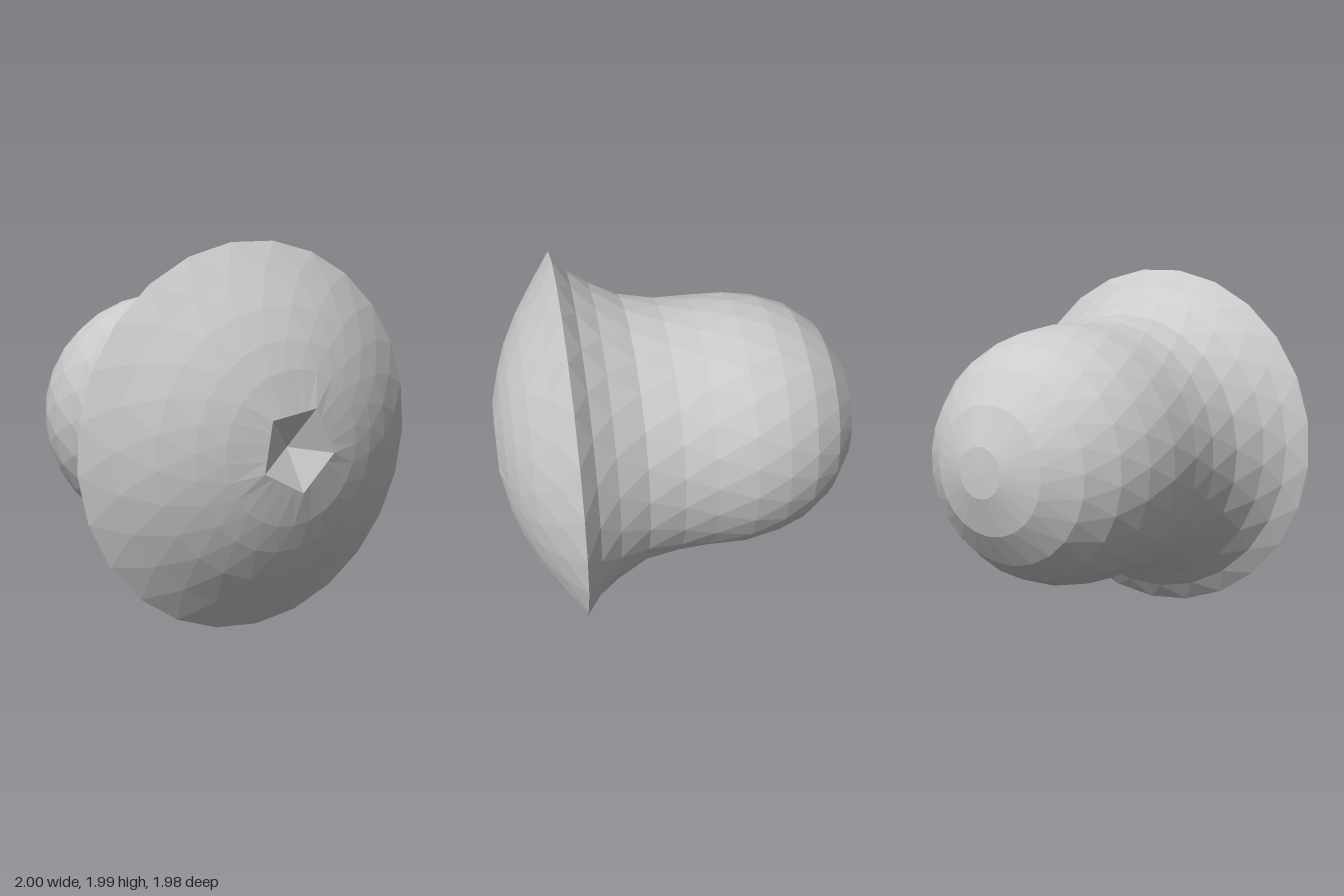
import * as THREE from 'three';

const SIDES = 25;

// [radius, z] from the rounded back end, over the flared rim, to the front dimple
const PROFILE = [
  [0, -0.99], [0.13, -0.985], [0.33, -0.92], [0.5, -0.8], [0.61, -0.65], [0.67, -0.49],
  [0.7, -0.31], [0.7, -0.1], [0.705, 0.07], [0.74, 0.26], [0.82, 0.42], [0.9, 0.53],
  [1, 0.61], [0.85, 0.71], [0.69, 0.815], [0.53, 0.895], [0.39, 0.945],
  [0.22, 0.99], [0, 0.89],
];
const DIMPLE_ROW = PROFILE.length - 2;

function bellGeometry() {
  const points = PROFILE.map(([r, z]) => new THREE.Vector2(r, z));
  const geometry = new THREE.LatheGeometry(points, SIDES);
  const pos = geometry.attributes.position;
  const rows = PROFILE.length;
  const corner = (2 * Math.PI) / 5;
  for (let i = 0; i < pos.count; i++) {
    const row = i % rows;
    const column = Math.floor(i / rows) % SIDES;
    let radius = PROFILE[row][0];
    // Pull the dimple's edge into a regular pentagon
    if (row === DIMPLE_ROW) {
      const along = ((column % 5) / 5) * corner - corner / 2;
      radius *= Math.cos(corner / 2) / Math.cos(along);
    }
    // Stagger each row by half a facet for an even triangle mesh
    const angle = 0.15 + ((column + (row - DIMPLE_ROW) / 2) / SIDES) * Math.PI * 2;
    pos.setX(i, radius * Math.sin(angle));
    pos.setZ(i, radius * Math.cos(angle));
  }
  geometry.rotateX(Math.PI / 2);
  geometry.computeVertexNormals();
  return geometry;
}

export function createModel() {
  const group = new THREE.Group();
  const material = new THREE.MeshStandardMaterial({ color: 0xcccccc, flatShading: true });

  // Rounded stem flaring into a shallow dome with a dimple
  const body = new THREE.Mesh(bellGeometry(), material);
  body.name = 'domedBell';
  body.position.y = 1;
  group.add(body);

  return group;
}
